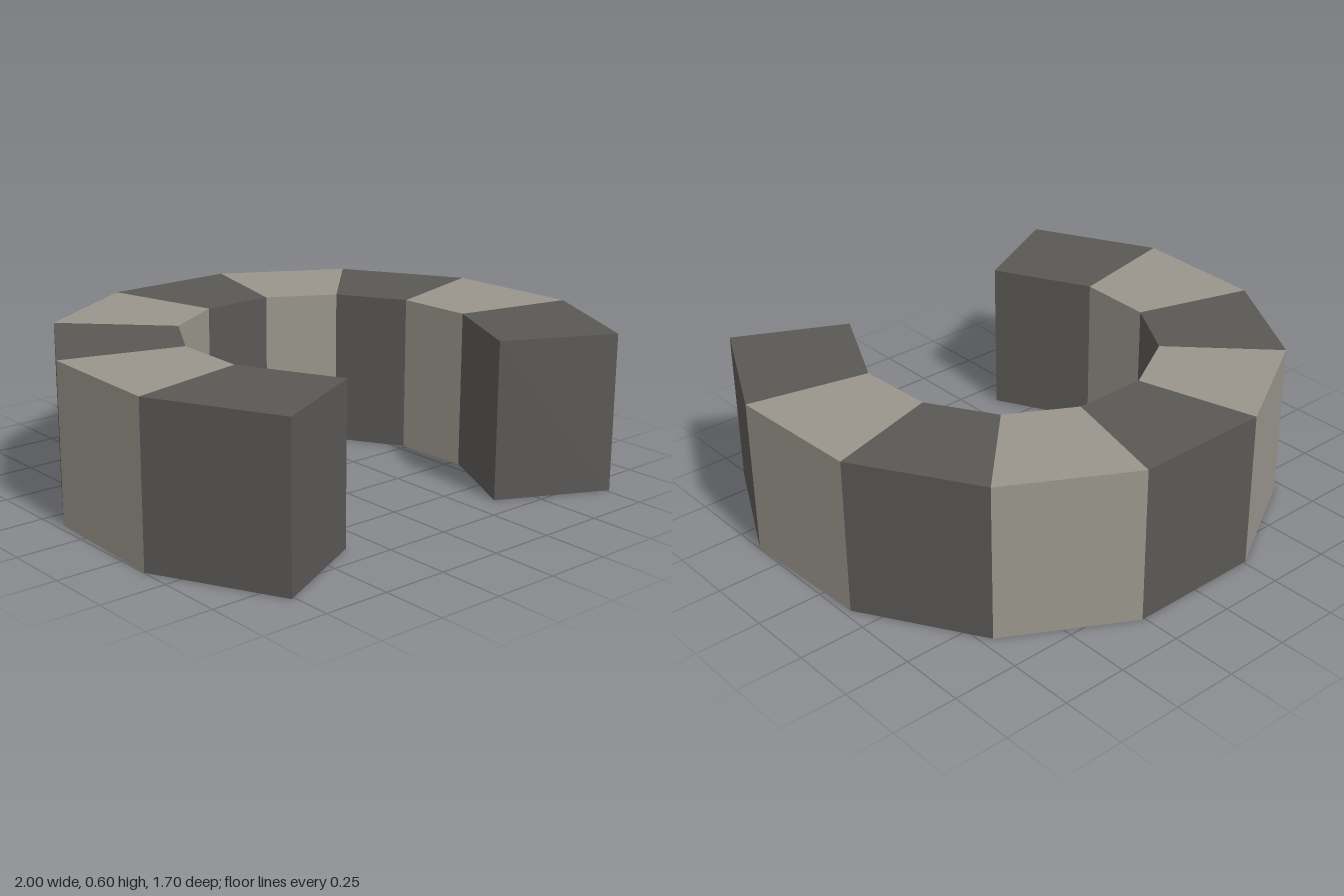
import * as THREE from 'three';

const HEIGHT = 0.6;
const DEPTH = 0.45;

export function createModel() {
  const model = new THREE.Group();
  model.name = 'curvedWall';

  const darkStone = new THREE.MeshStandardMaterial({ color: 0x5a5855 });
  darkStone.name = 'darkStone';
  const lightStone = new THREE.MeshStandardMaterial({ color: 0x99958c });
  lightStone.name = 'lightStone';

  // Outer corners as (x, z), from the back middle to the open end, then mirrored
  const half = [[0.26, -0.85], [0.71, -0.593], [0.975, -0.148], [0.998, 0.378], [0.763, 0.848]];
  const outer = [...half.map(([x, z]) => [-x, z]).reverse(), ...half]
    .map(([x, z]) => new THREE.Vector2(x, z));

  // Inner edge of each block: its outer edge moved inwards by the wall depth
  const edges = outer.slice(0, -1).map((a, i) => {
    const dir = outer[i + 1].clone().sub(a).normalize();
    const normal = new THREE.Vector2(-dir.y, dir.x);
    return { dir, start: a.clone().addScaledVector(normal, DEPTH), normal };
  });

  // Inner corners lie where neighbouring inner edges cross
  const inner = outer.map((p, i) => {
    const a = edges[i - 1], b = edges[i];
    if (!a || !b) return p.clone().addScaledVector((a || b).normal, DEPTH);
    const t = b.start.clone().sub(a.start).cross(b.dir) / a.dir.cross(b.dir);
    return a.start.clone().addScaledVector(a.dir, t);
  });

  // Nine wedge blocks in alternating colours
  edges.forEach((_, i) => {
    const corners = [outer[i], outer[i + 1], inner[i + 1], inner[i]];
    const shape = new THREE.Shape(corners.map((p) => new THREE.Vector2(p.x, -p.y)));
    const geometry = new THREE.ExtrudeGeometry(shape, { depth: HEIGHT, bevelEnabled: false });
    geometry.rotateX(-Math.PI / 2);
    const block = new THREE.Mesh(geometry, i % 2 ? lightStone : darkStone);
    block.name = `wallBlock${i + 1}`;
    model.add(block);
  });

  return model;
}
